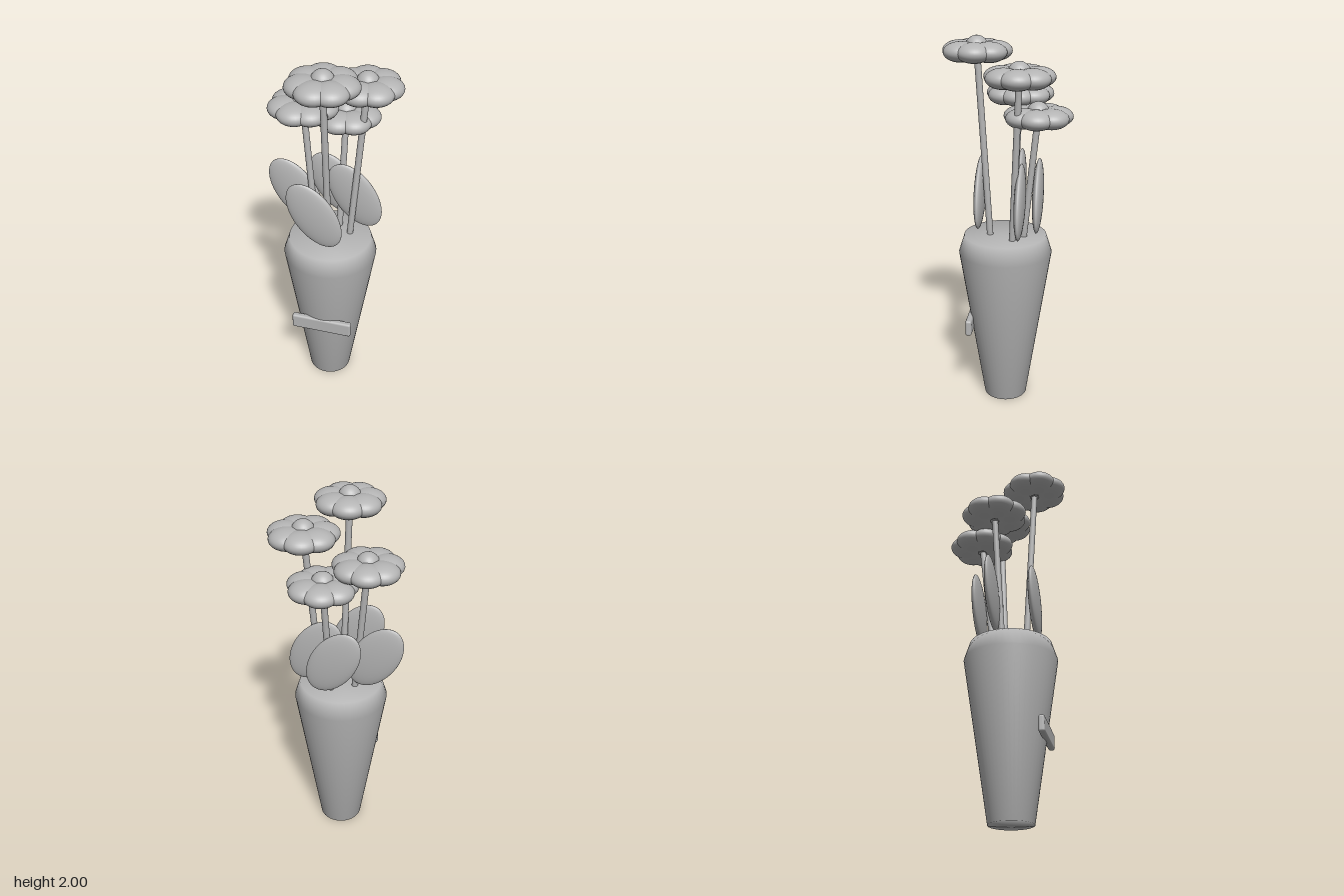
import * as THREE from 'three';
import { RoundedBoxGeometry } from 'three/addons/geometries/RoundedBoxGeometry.js';

export function createModel() {
  const model = new THREE.Group();
  model.name = 'vaseOfFlowers';
  const clay = new THREE.MeshStandardMaterial({ color: 0xb4b4b4 });
  clay.name = 'plain grey';

  function add(parent, name, geometry, x = 0, y = 0, z = 0) {
    const mesh = new THREE.Mesh(geometry, clay);
    mesh.name = name;
    mesh.position.set(x, y, z);
    parent.add(mesh);
    return mesh;
  }

  // Closed tapered vase with a softly shaded shoulder
  const profile = [[0, 0], [0.117, 0], [0.25, 0.86], [0.22, 0.955], [0, 0.955]]
    .map(([r, y]) => new THREE.Vector2(r, y));
  add(model, 'vase', new THREE.LatheGeometry(profile, 48), 0.006, 0, 0.014);

  // Small plate across the front of the vase
  add(model, 'frontPlate', new RoundedBoxGeometry(0.335, 0.088, 0.034, 3, 0.012), 0.006, 0.456, 0.197);

  // Shared flower parts
  const petal = new THREE.SphereGeometry(1, 32, 20).scale(0.09, 0.051, 0.09);
  const core = new THREE.SphereGeometry(0.058, 28, 18);
  const leaf = new THREE.SphereGeometry(1, 36, 24).scale(0.118, 0.204, 0.029);
  const petalCount = 7;

  // Head position and the point where each stem enters the vase
  const flowers = [
    { head: [0.007, 1.923, 0.156], base: [0.02, 0.093] },
    { head: [0.166, 1.822, -0.075], base: [0.1, -0.033] },
    { head: [-0.15, 1.685, -0.045], base: [-0.08, -0.015] },
    { head: [0.042, 1.605, -0.158], base: [0.03, -0.085] },
  ];

  for (const { head: [x, y, z], base: [bx, bz] } of flowers) {
    const flower = new THREE.Group();
    flower.name = 'flower';
    model.add(flower);

    const stemPath = new THREE.LineCurve3(new THREE.Vector3(bx, 0.93, bz), new THREE.Vector3(x, y, z));
    add(flower, 'stem', new THREE.TubeGeometry(stemPath, 4, 0.017, 14));

    // Ring of petals around a round centre
    for (let i = 0; i < petalCount; i++) {
      const a = (i / petalCount) * Math.PI * 2;
      add(flower, 'petal', petal, x + 0.09 * Math.cos(a), y, z + 0.09 * Math.sin(a));
    }
    add(flower, 'flowerCentre', core, x, y + 0.019, z);

    // Leaning flat leaf beside the stem
    add(flower, 'leaf', leaf, x - 0.05, 1.172, z).rotation.z = 0.56;
  }
  return model;
}
